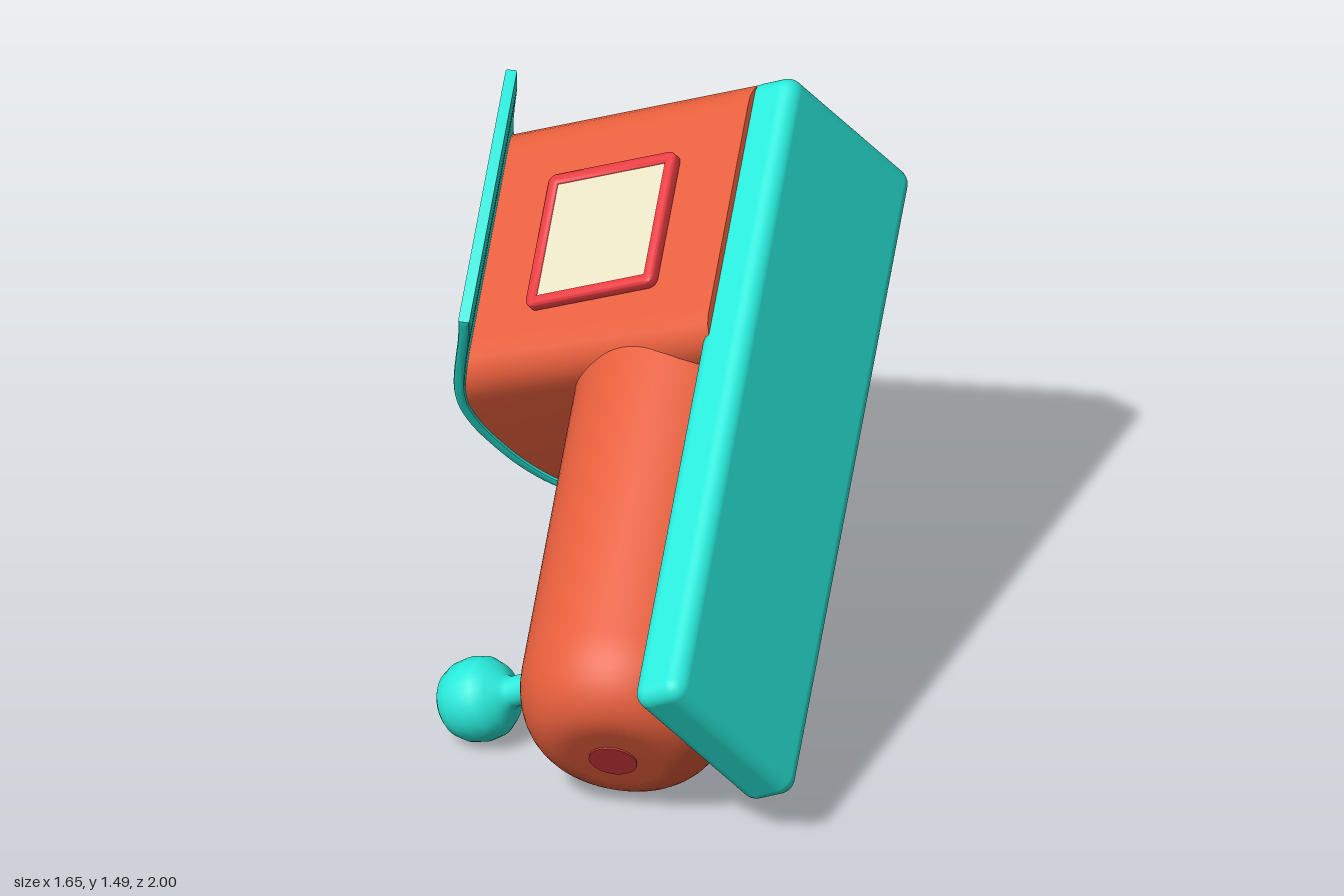
import * as THREE from 'three';
import { toCreasedNormals } from 'three/addons/utils/BufferGeometryUtils.js';
import { RoundedBoxGeometry } from 'three/addons/geometries/RoundedBoxGeometry.js';

const paint = (color, side = THREE.FrontSide) => new THREE.MeshStandardMaterial({ color, side });
const TEAL = paint(0x28eada, THREE.DoubleSide);
const ORANGE = paint(0xe65e3c);
const RED = paint(0xe83c42);
const DARK_RED = paint(0xd0383e);
const CREAM = paint(0xe6e2c2);

function add(parent, name, geometry, material) {
  const mesh = new THREE.Mesh(geometry, material);
  mesh.name = name;
  parent.add(mesh);
  return mesh;
}

function roundedRect(w, h, r, Type = THREE.Shape) {
  const s = new Type(), x = w / 2, y = h / 2;
  s.moveTo(-x + r, -y);
  s.lineTo(x - r, -y); s.absarc(x - r, -y + r, r, -Math.PI / 2, 0);
  s.lineTo(x, y - r); s.absarc(x - r, y - r, r, 0, Math.PI / 2);
  s.lineTo(-x + r, y); s.absarc(-x + r, y - r, r, Math.PI / 2, Math.PI);
  s.lineTo(-x, -y + r); s.absarc(-x + r, -y + r, r, Math.PI, Math.PI * 1.5);
  return s;
}

// Toy engine is built with +x forward, +y up, z across
export function createModel() {
  const engine = new THREE.Group();
  engine.name = 'toyEngine';

  // Base plate
  add(engine, 'basePlate', new RoundedBoxGeometry(1.93, 0.16, 0.565, 5, 0.045), TEAL)
    .position.set(-0.217, -0.642, 0);

  // Boiler: round barrel with a rounded nose
  const barrel = new THREE.Shape().absarc(0, 0, 0.13, 0, Math.PI * 2);
  const boiler = new THREE.ExtrudeGeometry(barrel, {
    depth: 0.99, bevelThickness: 0.22, bevelSize: 0.16, bevelSegments: 10, curveSegments: 40,
  });
  boiler.translate(0, 0, -0.50).rotateY(Math.PI / 2);
  add(engine, 'boiler', toCreasedNormals(boiler, 0.7), ORANGE).position.y = -0.315;

  // Round badge on the nose
  const badge = new THREE.CylinderGeometry(0.065, 0.065, 0.02, 24).rotateZ(Math.PI / 2);
  add(engine, 'noseDisc', badge, DARK_RED).position.set(0.705, -0.305, 0);

  // Chimney: thin stem and hollow bulb
  const chimney = [
    [0.07, -0.04], [0.055, -0.015], [0.043, 0.015], [0.041, 0.08], [0.05, 0.098], [0.085, 0.116],
    [0.108, 0.148], [0.115, 0.19], [0.108, 0.235], [0.09, 0.268], [0.077, 0.279], [0.066, 0.274],
    [0.056, 0.25], [0.045, 0.22], [0, 0.212],
  ].map(([r, y]) => new THREE.Vector2(r, y));
  add(engine, 'chimney', new THREE.LatheGeometry(chimney, 32), TEAL).position.x = 0.417;

  // Cab: rounded block, slightly flared upward, with an arched top
  const outline = new THREE.Shape(roundedRect(0.84, 0.6, 0.09).getSpacedPoints(96));
  const cab = new THREE.ExtrudeGeometry(outline, { depth: 1, steps: 8, bevelEnabled: false });
  cab.rotateX(-Math.PI / 2);
  const p = cab.attributes.position;
  for (let i = 0; i < p.count; i++) {
    const t = p.getY(i);
    const z = p.getZ(i) * (1 + 0.09 * t);
    p.setXYZ(i, p.getX(i) * (1 - 0.06 * t) - 0.77 - 0.023 * t,
      THREE.MathUtils.lerp(-0.6, 0.29 - 0.9 * z * z, t), z);
  }
  add(engine, 'cab', toCreasedNormals(cab, 0.6), ORANGE);

  // Roof: thin arched sheet with straight sloping eaves
  const half = [[0, 0.312], [0.1, 0.307], [0.19, 0.287], [0.26, 0.255], [0.33, 0.208], [0.41, 0.145], [0.49, 0.08], [0.57, 0.022]];
  const full = [...half.slice(1).reverse().map(([x, y]) => [-x, y]), ...half];
  const top = new THREE.SplineCurve(full.map(([x, y]) => new THREE.Vector2(x, y))).getPoints(48);
  const under = top.map((v, i) => {
    const a = top[Math.max(i - 1, 0)], b = top[Math.min(i + 1, top.length - 1)];
    const n = new THREE.Vector2(b.y - a.y, a.x - b.x).normalize();
    return v.clone().addScaledVector(n, 0.03);
  });
  const roof = new THREE.ExtrudeGeometry(new THREE.Shape([...top, ...under.reverse()]), {
    depth: 0.80, bevelThickness: 0.008, bevelSize: 0.008, bevelOffset: -0.008, bevelSegments: 2,
  });
  roof.translate(0, 0, -1.198).rotateY(Math.PI / 2);
  // Rear edge bows backward in the middle
  const r = roof.attributes.position;
  for (let i = 0; i < r.count; i++) {
    if (r.getX(i) < -1) r.setX(i, r.getX(i) + 0.09 * r.getZ(i) ** 2);
  }
  add(engine, 'roof', toCreasedNormals(roof, 0.7), TEAL);

  // Framed window on each side of the cab
  const frameShape = roundedRect(0.39, 0.39, 0.015);
  frameShape.holes.push(roundedRect(0.365, 0.365, 0.01, THREE.Path));
  const frame = toCreasedNormals(new THREE.ExtrudeGeometry(frameShape, {
    depth: 0.03, bevelThickness: 0.008, bevelSize: 0.01, bevelSegments: 3,
  }), 0.7);
  for (const [name, turn] of [['leftWindow', 0], ['rightWindow', Math.PI]]) {
    const pivot = new THREE.Group();
    pivot.name = name;
    pivot.position.x = -0.765;
    pivot.rotation.y = turn;
    const panel = new THREE.Group();
    panel.position.set(0, -0.205, 0.319);
    panel.rotation.x = 0.03;
    add(panel, 'windowFrame', frame, RED).position.z = -0.015;
    add(panel, 'windowPane', new THREE.BoxGeometry(0.36, 0.36, 0.03), CREAM);
    pivot.add(panel);
    engine.add(pivot);
  }

  // Tumbled pose: 45 degree heading, 30 degree nose-down, 120 degree roll
  const forward = new THREE.Vector3(-0.6124, -0.5, 0.6124);
  const up = new THREE.Vector3(-0.4356, -0.433, -0.7891);
  const across = new THREE.Vector3().crossVectors(forward, up);
  engine.quaternion.setFromRotationMatrix(new THREE.Matrix4().makeBasis(forward, up, across));
  engine.position.copy(across).multiplyScalar(-0.55);

  const model = new THREE.Group();
  model.add(engine);
  return model;
}
